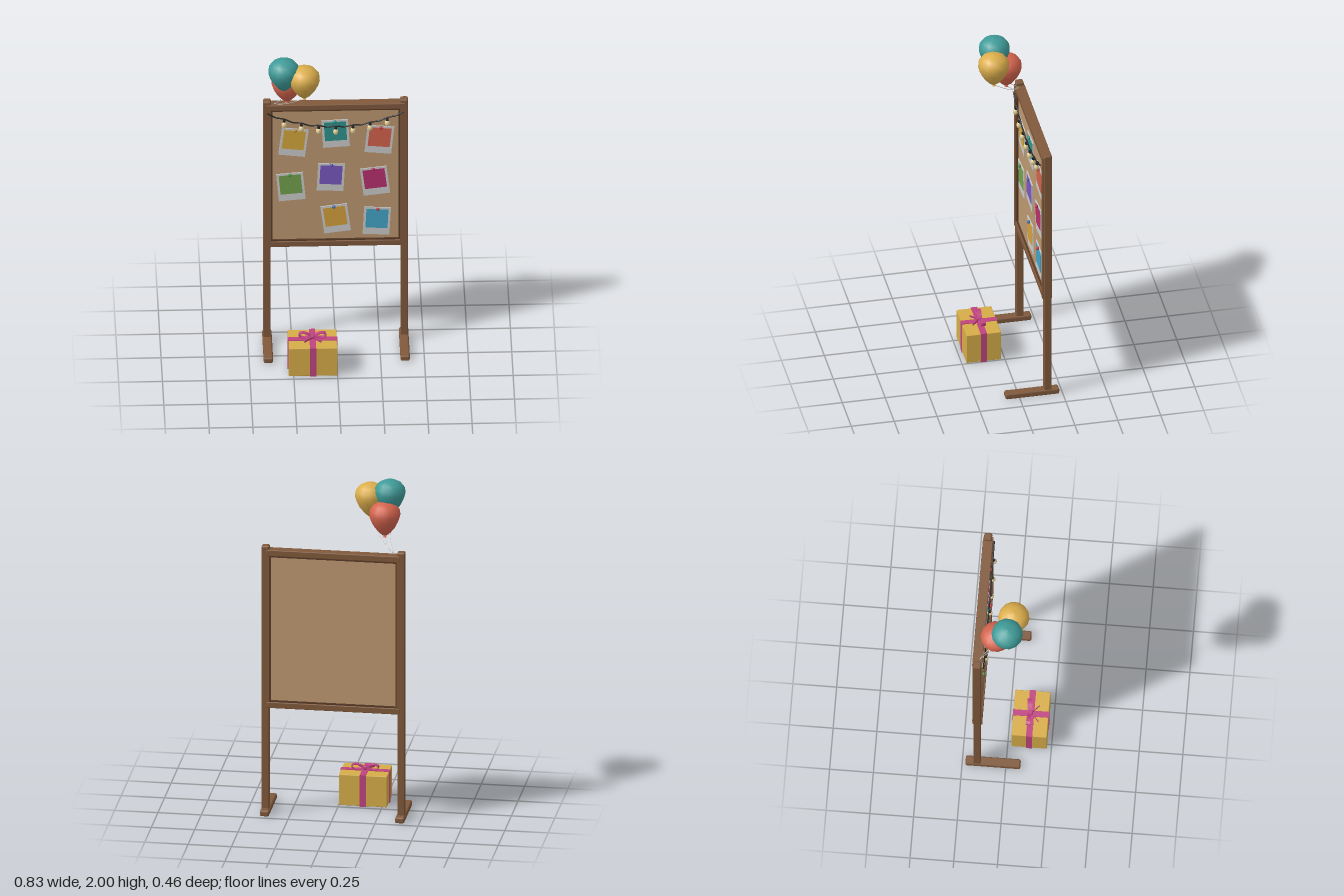
import * as THREE from 'three';
import { RoundedBoxGeometry } from 'three/addons/geometries/RoundedBoxGeometry.js';

const mat = (color, extra = {}) => {
  const m = new THREE.MeshStandardMaterial({ color });
  return Object.assign(m, extra);
};
const WOOD = mat(0x80593c), DARK = mat(0x5a3c28), CORK = mat(0xbd9870), CARD = mat(0xd2d2d2);
const GOLD = mat(0xd6ac48), RIBBON = mat(0xc04380, { side: THREE.DoubleSide });
const BLACK = mat(0x252525), BULB = mat(0xe6d29a), STRING = mat(0xeeeeee);

function add(parent, name, geometry, material, x = 0, y = 0, z = 0) {
  const mesh = new THREE.Mesh(geometry, material);
  mesh.name = name;
  mesh.position.set(x, y, z);
  parent.add(mesh);
  return mesh;
}
const box = (w, h, d) => new THREE.BoxGeometry(w, h, d);
const rbox = (w, h, d, r) => new RoundedBoxGeometry(w, h, d, 1, r);
function group(parent, name) {
  const g = new THREE.Group();
  g.name = name;
  parent.add(g);
  return g;
}

const BOARD_Z = -0.165;

function buildStand(root) {
  const stand = group(root, 'stand');
  for (const s of [-1, 1]) {
    add(stand, 'foot', rbox(0.054, 0.036, 0.314, 0.01), WOOD, s * 0.39, 0.02, -0.074);
    add(stand, 'post', rbox(0.042, 1.58, 0.042, 0.005), WOOD, s * 0.391, 0.82, BOARD_Z);
    add(stand, 'postCap', rbox(0.046, 0.03, 0.046, 0.01), WOOD, s * 0.391, 1.613, BOARD_Z);
    add(stand, 'sideRail', box(0.028, 0.955, 0.056), WOOD, s * 0.382, 1.127, BOARD_Z + 0.002);
    add(stand, 'sideLip', box(0.01, 0.89, 0.044), DARK, s * 0.364, 1.127, BOARD_Z);
  }
  // Horizontal rails with their dark inner lips
  for (const [y, lipY] of [[1.588, 1.566], [0.667, 0.689]]) {
    add(stand, 'crossRail', rbox(0.77, 0.036, 0.058, 0.004), WOOD, 0, y, BOARD_Z);
    add(stand, 'crossLip', box(0.73, 0.01, 0.044), DARK, 0, lipY, BOARD_Z);
  }
  add(stand, 'corkBoard', box(0.735, 0.89, 0.026), CORK, 0, 1.127, BOARD_Z);
}

// x, y, tilt, picture colour, pin colour
const PHOTOS = [
  [-0.24, 1.35, -0.12, 0xd4a63c, 0xb98a2c], [0, 1.405, 0.06, 0x2f948e, 0x2a8f8a],
  [0.25, 1.36, -0.1, 0xd3634e, 0xc23b3b], [-0.255, 1.05, 0.09, 0x72a04c, 0x4f8f4a],
  [-0.027, 1.11, -0.05, 0x7a58c0, 0x5a4fb0], [0.225, 1.08, 0.12, 0xb8306f, 0xb02a55],
  [0, 0.83, 0.13, 0xd4a03c, 0x3a6fb8], [0.235, 0.81, -0.05, 0x44a4c8, 0xc23b3b],
];

function buildPhotos(root) {
  const photos = group(root, 'photos');
  for (const [x, y, tilt, color, pin] of PHOTOS) {
    const photo = group(photos, 'photo');
    photo.position.set(x, y, -0.149);
    photo.rotation.z = tilt;
    add(photo, 'photoCard', box(0.153, 0.182, 0.005), CARD);
    add(photo, 'photoPicture', box(0.126, 0.125, 0.003), mat(color), 0, 0.016, 0.0025);
    add(photo, 'pinHead', new THREE.SphereGeometry(0.01, 10, 8), mat(pin), 0, 0.084, 0.01);
  }
}

function buildLights(root) {
  const lights = group(root, 'stringLights');
  const wireY = x => 1.463 + 0.6 * x * x;
  const points = [];
  for (let i = 0; i <= 32; i++) {
    const x = -0.39 + i * 0.78 / 32;
    points.push(new THREE.Vector3(x, wireY(x) + 0.004 * Math.cos(x * 64), -0.13));
  }
  add(lights, 'wire', new THREE.TubeGeometry(new THREE.CatmullRomCurve3(points), 64, 0.004, 6), BLACK);
  for (let i = -3; i <= 3; i++) {
    const x = i * 0.098, y = wireY(x);
    add(lights, 'bulbSocket', new THREE.CylinderGeometry(0.007, 0.009, 0.016, 8), BLACK, x, y - 0.006, -0.124);
    add(lights, 'bulb', new THREE.SphereGeometry(0.015, 10, 8), BULB, x, y - 0.029, -0.122).scale.y = 1.35;
  }
}

function buildBalloons(root) {
  const balloons = group(root, 'balloons');
  // Egg-shaped profile, narrowing to the knot
  const profile = [[0, -0.104], [0.014, -0.101], [0.036, -0.082], [0.062, -0.049], [0.08, -0.013],
    [0.09, 0.022], [0.085, 0.052], [0.066, 0.077], [0.036, 0.093], [0, 0.098]];
  const body = new THREE.LatheGeometry(profile.map(p => new THREE.Vector2(...p)), 14);
  const anchor = new THREE.Vector3(-0.35, 1.61, -0.155);
  for (const [x, y, z, color] of [[-0.3, 1.902, 0, 0x3f9b98], [-0.184, 1.868, 0.028, 0xdcae4c],
    [-0.28, 1.79, -0.065, 0xd4644e]]) {
    const m = mat(color);
    add(balloons, 'balloon', body, m, x, y, z);
    add(balloons, 'balloonKnot', new THREE.ConeGeometry(0.011, 0.016, 8), m, x, y - 0.107, z);
    const start = new THREE.Vector3(x, y - 0.11, z);
    const mid = start.clone().lerp(anchor, 0.6).add(new THREE.Vector3(0.012, -0.012, 0));
    const curve = new THREE.CatmullRomCurve3([start, mid, anchor]);
    add(balloons, 'balloonString', new THREE.TubeGeometry(curve, 12, 0.0015, 5), STRING);
  }
}

function teardrop(path, inset) {
  path.moveTo(inset * 2, 0);
  path.bezierCurveTo(0.025, 0.018 - inset, 0.05, 0.034 - inset, 0.078 - inset, 0.018 - inset);
  path.bezierCurveTo(0.084 - inset, 0, 0.07 - inset, -0.012 + inset, 0.05, -0.012 + inset);
  path.lineTo(inset * 2, 0);
  return path;
}

function buildGift(root) {
  const gift = group(root, 'gift');
  gift.position.set(-0.14, 0, 0.123);
  add(gift, 'giftBox', rbox(0.278, 0.186, 0.202, 0.004), GOLD, 0, 0.097, 0);
  add(gift, 'ribbonAcross', box(0.284, 0.192, 0.036), RIBBON, 0, 0.097, 0);
  add(gift, 'ribbonAlong', box(0.036, 0.192, 0.207), RIBBON, 0, 0.097, 0);
  // Bow: two hollow loops, a knot and two tails
  const shape = teardrop(new THREE.Shape(), 0);
  shape.holes.push(teardrop(new THREE.Path(), 0.004));
  const loop = new THREE.ExtrudeGeometry(shape, { depth: 0.026, bevelEnabled: false, curveSegments: 5 });
  loop.translate(0, 0, -0.013);
  for (const s of [-1, 1]) {
    const bow = add(gift, 'bowLoop', loop, RIBBON, 0, 0.205, -0.006);
    bow.rotation.y = s > 0 ? 0.08 : Math.PI - 0.08;
    const tail = add(gift, 'bowTail', box(0.062, 0.012, 0.003), RIBBON, s * 0.025, 0.2, 0.024);
    tail.rotation.y = -s * 0.75;
  }
  add(gift, 'bowKnot', rbox(0.022, 0.022, 0.03, 0.006), RIBBON, 0, 0.205, -0.004);
}

export function createModel() {
  const root = new THREE.Group();
  root.name = 'photoBoard';
  buildStand(root);
  buildPhotos(root);
  buildLights(root);
  buildBalloons(root);
  buildGift(root);
  return root;
}
